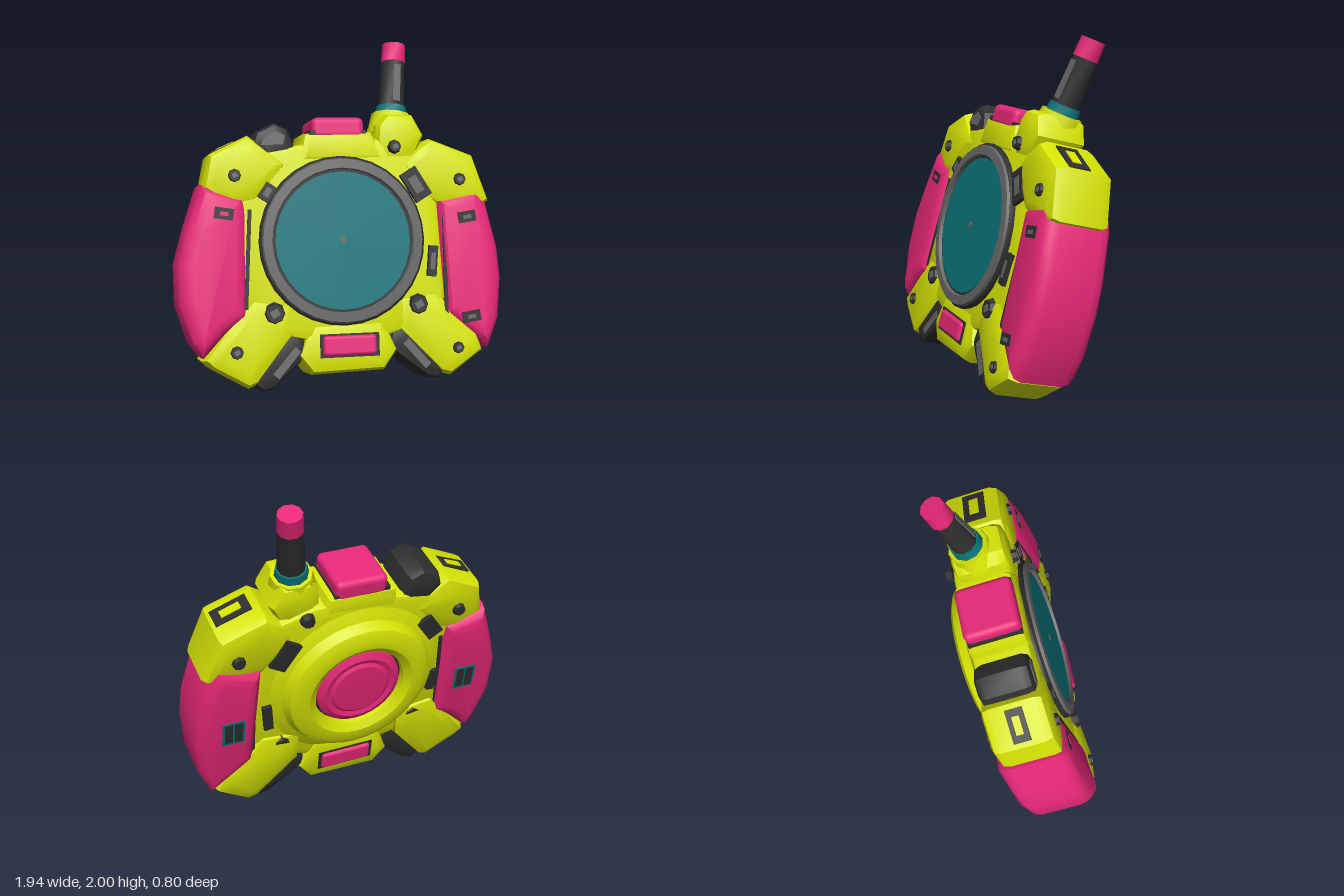
import * as THREE from 'three';
import { toCreasedNormals } from 'three/addons/utils/BufferGeometryUtils.js';
import { RoundedBoxGeometry } from 'three/addons/geometries/RoundedBoxGeometry.js';

const material = (name, color) => {
  const m = new THREE.MeshStandardMaterial({ color });
  m.name = name;
  return m;
};

export function createModel() {
  const yellow = material('yellow', 0xd5e304);
  const pink = material('pink', 0xe82878);
  const teal = material('teal', 0x08747a);
  const dark = material('dark', 0x2e2e2e);
  const grey = material('grey', 0x666666);

  const root = new THREE.Group();
  root.name = 'handheldDevice';
  // The device leans back and is turned a little to one side
  const device = new THREE.Group();
  device.name = 'device';
  device.rotation.set(-0.244, -0.096, -0.026, 'YXZ');
  device.position.y = 0.9;
  root.add(device);
  const e = new THREE.Matrix4().makeRotationFromEuler(device.rotation).elements;

  // Upright x, y at device depth z -> device coordinates
  const P = (x, y, z = 0) => {
    const a = x - e[8] * z, b = y - 0.9 - e[9] * z, det = e[0] * e[5] - e[4] * e[1];
    return new THREE.Vector3((a * e[5] - b * e[4]) / det, (b * e[0] - a * e[1]) / det, z);
  };
  const add = (name, geo, mat, parent = device) => {
    const m = new THREE.Mesh(geo, mat);
    m.name = name;
    parent.add(m);
    return m;
  };
  // Bevelled slab from an outline, between depths z0 and z1
  const slab = (name, mat, pts, z0, z1, b, seg = 2) => {
    const shape = new THREE.Shape(pts.map(([x, y]) => {
      const p = P(x, y);
      return new THREE.Vector2(p.x, p.y);
    }));
    const geo = new THREE.ExtrudeGeometry(shape, {
      depth: z1 - z0 - 2 * b, bevelThickness: b, bevelSize: b, bevelOffset: -b, bevelSegments: seg,
    });
    geo.translate(0, 0, z0 + b);
    return add(name, toCreasedNormals(geo, 0.6), mat);
  };
  // Lathe round the depth axis; side 1 faces front, -1 faces back
  const dial = (name, mat, profile, side, c) => {
    const geo = new THREE.LatheGeometry(profile.map(([r, h]) => new THREE.Vector2(r, h)), 32);
    geo.rotateX(side * Math.PI / 2);
    const m = add(name, toCreasedNormals(geo, 0.5), mat);
    m.position.set(c.x, c.y, 0);
    return m;
  };
  const box = (name, mat, p, w, h, d, turn = 0) => {
    const m = add(name, new THREE.BoxGeometry(w, h, d), mat);
    m.position.copy(p);
    m.rotation.z = turn;
    return m;
  };
  const FRONT = 0.14, BACK = -0.2;
  const faceZ = (s, lift = 0) => (s > 0 ? FRONT : BACK) + s * lift;

  // Main shell
  slab('body', yellow, [[-0.56, 1.36], [-0.2, 1.41], [0.3, 1.43], [0.5, 1.36], [0.6, 1.1], [0.6, 0.5],
    [0.42, 0.36], [0.2, 0.3], [-0.2, 0.3], [-0.45, 0.36], [-0.62, 0.5], [-0.6, 1.1]], BACK, FRONT, 0.04);

  // Corner arms
  slab('upperRightArm', yellow, [[-0.78, 1.18], [-0.73, 1.37], [-0.5, 1.47], [-0.4, 1.39], [-0.28, 1.3],
    [-0.48, 1.1], [-0.62, 1.08]], -0.21, 0.16, 0.06);
  slab('upperLeftArm', yellow, [[0.5, 1.37], [0.58, 1.42], [0.84, 1.315], [0.92, 1.05], [0.86, 1.02],
    [0.58, 1.04], [0.46, 1.13], [0.4, 1.28]], -0.21, 0.16, 0.06);
  slab('lowerRightArm', yellow, [[-0.85, 0.24], [-0.8, 0.19], [-0.6, 0.07], [-0.54, 0.09], [-0.32, 0.34],
    [-0.3, 0.54], [-0.55, 0.58], [-0.68, 0.44]], -0.235, 0.155, 0.07);
  slab('lowerLeftArm', yellow, [[0.81, 0.19], [0.6, 0.06], [0.53, 0.08], [0.29, 0.34], [0.3, 0.54],
    [0.55, 0.56], [0.64, 0.44], [0.78, 0.3]], -0.235, 0.155, 0.07);

  // Pink side grips
  slab('rightGrip', pink, [[-0.79, 1.21], [-0.54, 1.13], [-0.53, 1.05], [-0.57, 0.46], [-0.7, 0.38], [-0.84, 0.25],
    [-0.9, 0.33], [-0.96, 0.55], [-0.95, 0.78], [-0.885, 0.97]], -0.245, 0.17, 0.085, 3);
  slab('leftGrip', pink, [[0.585, 1.07], [0.85, 1.14], [0.9, 1.04], [0.95, 0.78], [0.955, 0.6], [0.92, 0.37],
    [0.84, 0.2], [0.76, 0.26], [0.585, 0.41]], -0.245, 0.17, 0.085, 3);
  for (const [x, y] of [[-0.69, 1.08], [0.74, 1.0], [0.72, 0.43]]) {
    box('gripSlot', dark, P(x, y, 0.17), 0.11, 0.065, 0.008, 0.15 * Math.sign(x));
    box('gripSlotInset', x < 0 ? pink : grey, P(x, y, 0.175), 0.05, 0.022, 0.006, 0.15 * Math.sign(x));
  }
  // Dark seams along the inner edges of the grips
  for (const [x0, y0, x1, y1] of [[-0.55, 1.1, -0.585, 0.53], [0.598, 1.05, 0.595, 0.44]]) {
    for (const s of [1, -1]) {
      const p = P((x0 + x1) / 2, (y0 + y1) / 2, FRONT);
      p.z = faceZ(s, 0.002);
      box('gripSeam', dark, p, 0.022, y0 - y1, 0.008, Math.atan2(x1 - x0, y0 - y1));
    }
  }
  // Double windows on the back of the grips
  for (const [x, y] of [[0.765, 0.63], [-0.7, 0.67]]) {
    box('gripWindowFrame', teal, P(x, y, -0.246), 0.135, 0.165, 0.008);
    for (const k of [-1, 1]) box('gripWindowPane', dark, P(x + k * 0.03, y, -0.249), 0.048, 0.14, 0.008);
  }

  // Dark feet with a lighter strip
  for (const s of [-1, 1]) {
    slab('foot', dark, [[-0.6, 0.12], [-0.52, 0.045], [-0.45, 0.06], [-0.23, 0.24], [-0.26, 0.36], [-0.4, 0.4]]
      .map(([x, y]) => [s * x, y]), -0.2, 0.13, 0.05);
    box('footStrip', grey, P(-s * 0.385, 0.23, 0.13), 0.045, 0.2, 0.006, -s * 0.72);
  }

  // Screen with its ring
  const c = P(-0.015, 0.9, 0.17);
  dial('screenBezel', dark, [[0.49, 0.1], [0.49, 0.155], [0.478, 0.168], [0, 0.168]], 1, c);
  dial('screenRing', grey, [[0.478, 0.16], [0.47, 0.184], [0.418, 0.188], [0.412, 0.165]], 1, c);
  dial('screen', teal, [[0.398, 0.164], [0.398, 0.173], [0, 0.176]], 1, c);
  dial('screenPin', grey, [[0.018, 0.17], [0.018, 0.18], [0, 0.181]], 1, c);

  // Raised ring and round button on the back
  dial('backRing', yellow, [[0.58, 0.17], [0.52, 0.205], [0.46, 0.23], [0.43, 0.285], [0.38, 0.31], [0.32, 0.31],
    [0.275, 0.28], [0.27, 0.22]], -1, c);
  dial('backButtonGap', dark, [[0.275, 0.2], [0.275, 0.24], [0, 0.24]], -1, c);
  dial('backButton', pink, [[0.262, 0.23], [0.255, 0.265], [0.215, 0.285], [0.185, 0.275], [0.165, 0.288], [0, 0.294]], -1, c);

  // Lower panel with a button on both faces
  slab('lowerPanel', yellow, [[-0.31, 0.23], [-0.23, 0.12], [0.2, 0.12], [0.29, 0.23], [0.21, 0.42], [-0.22, 0.42]],
    -0.225, 0.15, 0.06);
  for (const s of [-1, 1]) {
    const p = P(-0.02, 0.31, 0.15);
    p.z = s > 0 ? 0.15 : -0.225;
    box('lowerButtonFrame', dark, p, 0.35, 0.135, 0.012);
    const b = add('lowerButton', new RoundedBoxGeometry(0.315, 0.115, 0.05, 2, 0.02), pink);
    b.position.copy(p);
  }

  // Upper panel and button
  slab('upperPanel', yellow, [[-0.22, 1.3], [-0.175, 1.47], [0.23, 1.47], [0.3, 1.3]], -0.2, 0.145, 0.04);
  box('upperButtonFrame', dark, P(0.03, 1.447, -0.025), 0.335, 0.06, 0.315);
  const top = add('upperButton', new RoundedBoxGeometry(0.31, 0.125, 0.325, 3, 0.035), pink);
  top.position.copy(P(0.035, 1.49, -0.025));

  // Dark top knob with a lighter front
  slab('topKnob', dark, [[-0.48, 1.42], [-0.45, 1.49], [-0.34, 1.54], [-0.26, 1.5], [-0.21, 1.36], [-0.4, 1.28]],
    -0.19, 0.13, 0.05);
  slab('topKnobFace', grey, [[-0.43, 1.41], [-0.41, 1.45], [-0.335, 1.487], [-0.285, 1.46], [-0.3, 1.41]],
    0.127, 0.134, 0.001, 1);

  // Framed slots on the sloping shoulders
  for (const [x, y, z, turn, w, d] of [[-0.615, 1.42, -0.02, 0.41, 0.19, 0.1], [0.72, 1.364, 0, -0.38, 0.22, 0.13]]) {
    box('shoulderSlot', dark, P(x, y, 0).setZ(z), w, 0.014, d, turn);
    box('shoulderSlotInset', yellow, P(x, y, 0).setZ(z), w * 0.55, 0.024, d * 0.42, turn);
  }

  // Bolts on both faces, with lighter centres on the front
  for (const [x, y, r, lift] of [[-0.61, 1.28, 0.045, 0.015], [0.72, 1.21, 0.045, 0.015], [0.34, 1.41, 0.045, 0.02],
    [-0.67, 0.31, 0.045, 0.01], [0.63, 0.25, 0.042, 0.01], [-0.44, 0.51, 0.07, 0.01], [0.41, 0.51, 0.068, 0.01]]) {
    const p = P(x, y, FRONT);
    for (const s of [1, -1]) {
      const bolt = add('bolt', toCreasedNormals(new THREE.CylinderGeometry(r * 0.75, r, 0.04, 8).rotateX(s * Math.PI / 2), 0.3), dark);
      bolt.position.set(p.x, p.y, faceZ(s, lift));
    }
    box('boltCentre', grey, p.setZ(faceZ(1, lift + 0.02)), r * 0.7, r * 0.6, 0.006, 0.5);
  }

  // Vents: w, h, turn, faces
  for (const [x, y, w, h, turn, faces] of [[0.45, 1.19, 0.11, 0.19, 0.55, [1, -1]], [-0.43, 1.18, 0.07, 0.1, -0.6, [1]],
    [-0.44, 1.19, 0.1, 0.16, -0.6, [-1]], [0.515, 0.75, 0.055, 0.18, -0.1, [1, -1]], [-0.53, 0.77, 0.05, 0.15, 0.1, [-1]]]) {
    for (const s of faces) {
      const p = P(x, y, FRONT);
      box('vent', dark, p.setZ(faceZ(s, 0.01)), w, h, 0.03, turn);
      if (s > 0) box('ventInset', grey, p.setZ(faceZ(s, 0.025)), w * 0.5, h * 0.55, 0.006, turn);
    }
  }

  // Antenna: mount, collar, rod and tip along one axis
  slab('antennaMount', yellow, [[0.25, 1.4], [0.27, 1.51], [0.33, 1.57], [0.49, 1.56], [0.55, 1.44], [0.47, 1.3], [0.3, 1.3]],
    -0.17, 0.155, 0.06);
  const A = new THREE.Vector3(0.4, 1.52, -0.155), B = new THREE.Vector3(0.485, 1.978, -0.325);
  const dir = B.clone().sub(A), len = dir.length();
  for (const [name, mat, t0, t1, r0, r1] of [['antennaSocket', yellow, -0.15, 0.11, 0.14, 0.118],
    ['antennaCollar', teal, 0.08, 0.21, 0.098, 0.09], ['antennaRod', dark, 0.18, 0.79, 0.08, 0.07],
    ['antennaTip', pink, 0.77, 1, 0.074, 0.07]]) {
    const geo = new THREE.CylinderGeometry(r1, r0, (t1 - t0) * len, 10);
    const m = add(name, toCreasedNormals(geo, 0.8), mat, root);
    m.position.copy(A).addScaledVector(dir, (t0 + t1) / 2);
    m.quaternion.setFromUnitVectors(new THREE.Vector3(0, 1, 0), dir.clone().normalize());
    if (name === 'antennaRod') {
      const strip = add('antennaStrip', new THREE.BoxGeometry(0.045, 0.23, 0.008), grey, m);
      strip.position.z = 0.073;
      strip.rotation.x = -0.033;
    }
  }
  return root;
}
